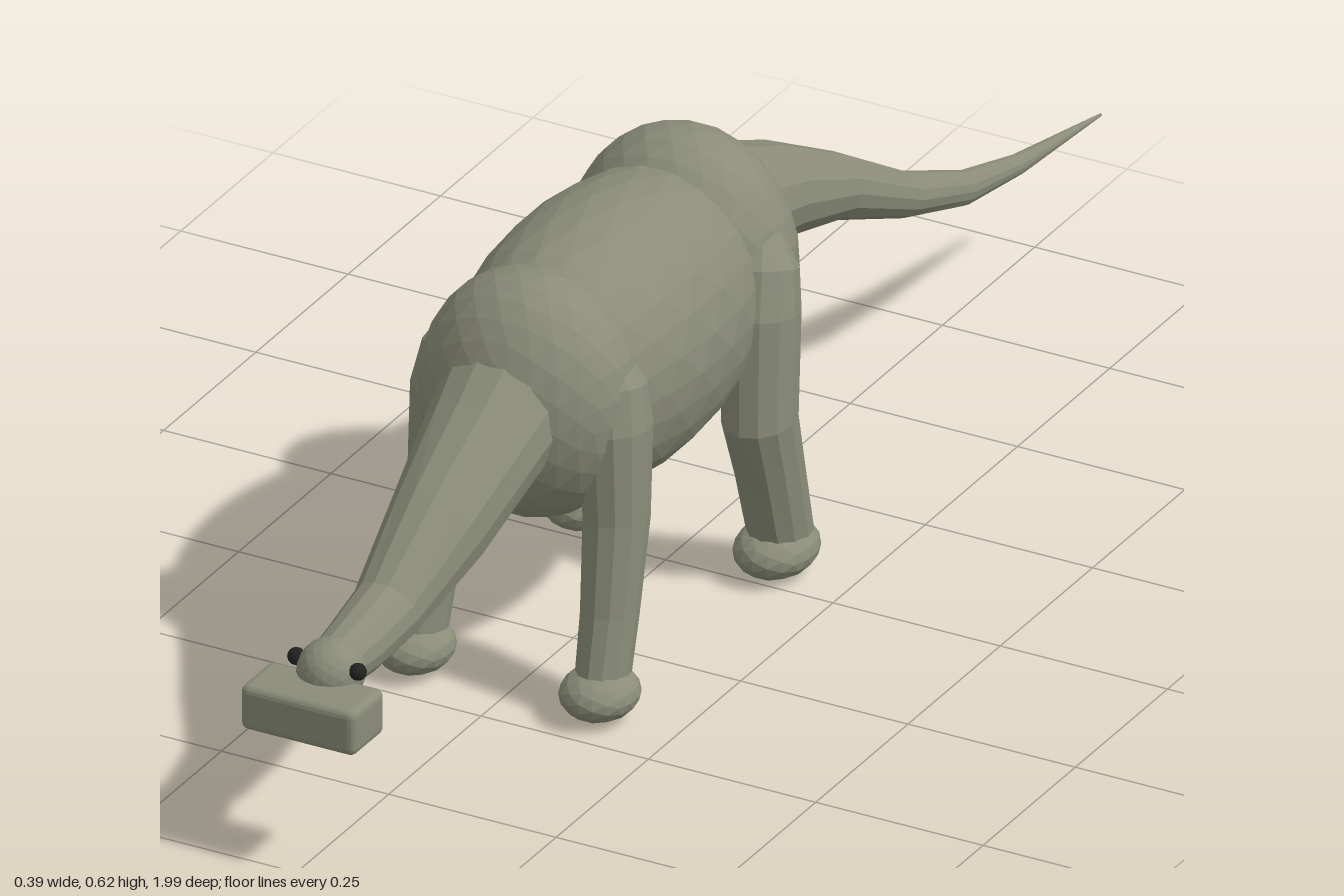
import * as THREE from 'three';
import { RoundedBoxGeometry } from 'three/addons/geometries/RoundedBoxGeometry.js';

const skin = new THREE.MeshStandardMaterial({ color: 0x8a8c78, flatShading: true });
const dark = new THREE.MeshStandardMaterial({ color: 0x222222 });

// Closed skin through stations [x, y, z, side radius, other radius]
function loft(stations, sides = 14) {
  const pts = stations.map(s => new THREE.Vector3(s[0], s[1], s[2]));
  const pos = [], index = [], n = pts.length;
  pts.forEach((p, i) => {
    const t = pts[Math.min(i + 1, n - 1)].clone().sub(pts[Math.max(i - 1, 0)]).normalize();
    const a = new THREE.Vector3(1, 0, 0).addScaledVector(t, -t.x).normalize();
    const b = t.clone().cross(a);
    const ra = stations[i][3], rb = stations[i][4] ?? ra;
    for (let j = 0; j < sides; j++) {
      const w = (j / sides) * Math.PI * 2;
      const v = p.clone().addScaledVector(a, ra * Math.cos(w)).addScaledVector(b, rb * Math.sin(w));
      pos.push(v.x, v.y, v.z);
    }
  });
  pos.push(...pts[0].toArray(), ...pts[n - 1].toArray());
  for (let j = 0; j < sides; j++) {
    const k = (j + 1) % sides;
    for (let i = 0; i < n - 1; i++) {
      const r = i * sides, q = r + sides;
      index.push(r + j, r + k, q + j, r + k, q + k, q + j);
    }
    const l = (n - 1) * sides;
    index.push(n * sides, k, j, n * sides + 1, l + j, l + k);
  }
  const g = new THREE.BufferGeometry();
  g.setAttribute('position', new THREE.Float32BufferAttribute(pos, 3));
  g.setIndex(index);
  g.computeVertexNormals();
  return g;
}

function ball(center, radii, detail = 3) {
  return new THREE.IcosahedronGeometry(1, detail).scale(...radii).translate(...center);
}

export function createModel() {
  const model = new THREE.Group();
  const add = (name, geometry, material = skin) => {
    const m = new THREE.Mesh(geometry, material);
    m.name = name;
    model.add(m);
    return m;
  };

  // Trunk
  add('belly', ball([0, 0.415, 0.166], [0.17, 0.196, 0.33], 4));
  add('shoulders', ball([0, 0.42, 0.365], [0.155, 0.175, 0.127], 4));
  add('hips', ball([0, 0.432, -0.045], [0.16, 0.186, 0.134], 4));

  // Neck, lowered towards the ground
  add('neck', loft([
    [0, 0.45, 0.40, 0.10, 0.09],
    [0, 0.405, 0.49, 0.086, 0.079],
    [0, 0.335, 0.62, 0.068, 0.075],
    [0, 0.276, 0.756, 0.049, 0.049],
    [0, 0.264, 0.84, 0.043, 0.043],
    [0, 0.26, 0.91, 0.036, 0.036],
  ]));

  // Tail, drooping and swinging to one side
  add('tail', loft([
    [0, 0.47, -0.08, 0.10, 0.09],
    [0, 0.453, -0.177, 0.084, 0.078],
    [0.008, 0.428, -0.263, 0.071, 0.066],
    [0.03, 0.377, -0.40, 0.05, 0.045],
    [0.062, 0.312, -0.53, 0.034, 0.031],
    [0.085, 0.272, -0.65, 0.022, 0.024],
    [0.096, 0.25, -0.78, 0.014, 0.014],
    [0.107, 0.231, -0.985, 0.002, 0.002],
  ]));

  // Head with wide flat muzzle
  add('head', ball([0, 0.257, 0.905], [0.046, 0.044, 0.048]));
  add('muzzle', new RoundedBoxGeometry(0.172, 0.066, 0.086, 2, 0.011).translate(0, 0.223, 0.957));

  for (const s of [1, -1]) {
    const side = s > 0 ? 'left' : 'right';
    const limb = rows => loft(rows.map(([x, ...rest]) => [s * x, ...rest]), 12);

    add(side + 'Eye', ball([s * 0.046, 0.271, 0.917], [0.012, 0.012, 0.012], 2), dark);

    // Front leg
    add(side + 'FrontLeg', limb([
      [0.11, 0.49, 0.345, 0.022, 0.03],
      [0.117, 0.455, 0.355, 0.044, 0.05],
      [0.124, 0.40, 0.363, 0.049, 0.056],
      [0.131, 0.27, 0.37, 0.043, 0.05],
      [0.135, 0.14, 0.396, 0.038, 0.043],
      [0.137, 0.04, 0.422, 0.035, 0.042],
    ]));
    add(side + 'FrontFoot', ball([s * 0.138, 0.039, 0.428], [0.053, 0.036, 0.06], 2));

    // Hind leg, bent at the knee
    add(side + 'HindLeg', limb([
      [0.12, 0.50, -0.045, 0.025, 0.03],
      [0.132, 0.455, -0.025, 0.046, 0.055],
      [0.138, 0.40, -0.01, 0.05, 0.06],
      [0.144, 0.25, 0.006, 0.049, 0.057],
      [0.144, 0.16, -0.022, 0.045, 0.051],
      [0.144, 0.04, -0.055, 0.042, 0.048],
    ]));
    add(side + 'HindFoot', ball([s * 0.143, 0.038, -0.042], [0.055, 0.038, 0.068], 2));
  }
  return model;
}
